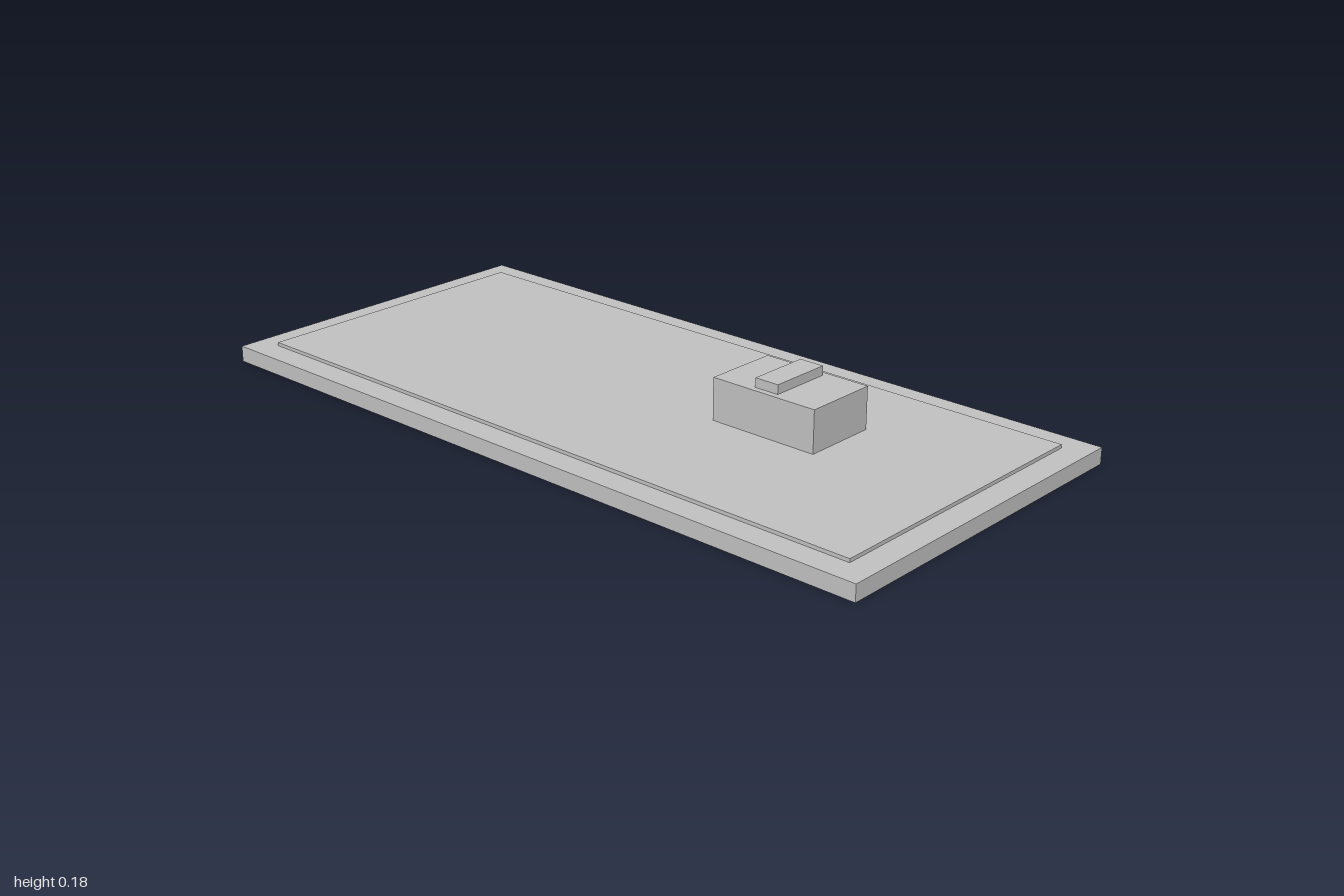
import * as THREE from 'three';

export function createModel() {
  const model = new THREE.Group();
  const grey = new THREE.MeshStandardMaterial({ color: 0xbfbfbf });
  grey.name = 'plain grey';

  // Adds a box of the given size, resting on bottom and centred on x, z
  function slab(name, width, height, depth, x, bottom, z) {
    const mesh = new THREE.Mesh(new THREE.BoxGeometry(width, height, depth), grey);
    mesh.name = name;
    mesh.position.set(x, bottom + height / 2, z);
    model.add(mesh);
  }

  // Wide base with a thin raised panel
  slab('base', 2, 0.042, 0.933, 0, 0, 0);
  slab('raisedPanel', 1.867, 0.009, 0.8, 0, 0.042, 0);

  // Off-centre block with a narrow bar on top
  slab('block', 0.3, 0.109, 0.2, 0.4, 0.051, -0.067);
  slab('topBar', 0.067, 0.024, 0.167, 0.397, 0.16, -0.067);

  return model;
}
